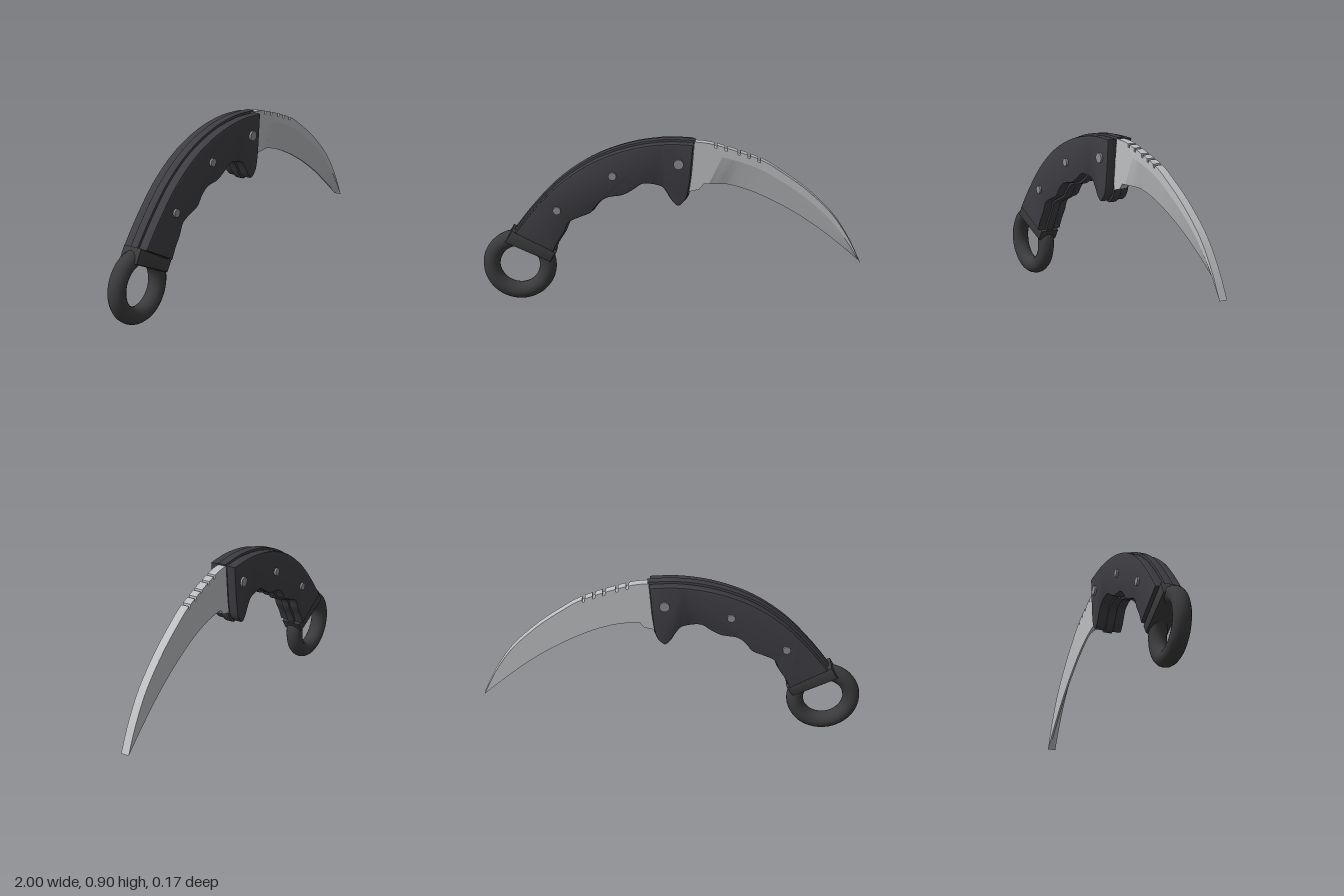
import * as THREE from 'three';
import { toCreasedNormals } from 'three/addons/utils/BufferGeometryUtils.js';

const mat = (name, color, extra = {}) => Object.assign(new THREE.MeshStandardMaterial({ color, ...extra }), { name });
const V = (x, y) => new THREE.Vector2(x, y);
const spline = (pts) => new THREE.SplineCurve(pts.map(([x, y]) => V(x, y)));

// Slab between two depths; grow moves its outline outwards, bevel rounds its rims
function slab(points, z0, z1, bevel, grow = 0) {
  const g = new THREE.ExtrudeGeometry(new THREE.Shape(points), {
    depth: z1 - z0 - 2 * bevel, bevelEnabled: bevel > 0, bevelThickness: bevel,
    bevelSize: bevel, bevelOffset: grow - bevel, bevelSegments: 2, steps: 1,
  });
  g.translate(0, 0, z0 + bevel);
  return toCreasedNormals(g, 0.6);
}

export function createModel() {
  const group = new THREE.Group();
  const grip = mat('charcoal grip', 0x3e3d42);
  const metal = mat('dark metal', 0x3b3b3d);
  const steel = mat('blade steel', 0xbcbec0);
  const pinMetal = mat('pin metal', 0x8c8c8f);
  const add = (name, geometry, material) => {
    const mesh = new THREE.Mesh(geometry, material);
    mesh.name = name;
    group.add(mesh);
    return mesh;
  };

  // Handle outline: arched back, front end, finger guard and grooves
  const back = spline([[-0.83, 0.39], [-0.73, 0.52], [-0.59, 0.67], [-0.42, 0.79], [-0.23, 0.865], [-0.04, 0.897], [0.125, 0.893]]);
  const guard = spline([[0.11, 0.71], [0.095, 0.61], [0.07, 0.565], [0.035, 0.543], [0.0, 0.57], [-0.03, 0.62],
    [-0.06, 0.652], [-0.14, 0.663], [-0.19, 0.632], [-0.25, 0.6], [-0.33, 0.585], [-0.375, 0.55],
    [-0.41, 0.505], [-0.47, 0.478], [-0.525, 0.45], [-0.55, 0.395], [-0.585, 0.34], [-0.615, 0.275]]);
  const handle = [...back.getPoints(28), ...guard.getPoints(72)].reverse();
  add('handleCore', slab(handle, -0.022, 0.022, 0.003), grip);
  add('leftScale', slab(handle, 0.02, 0.073, 0.009, -0.01), grip);
  add('rightScale', slab(handle, -0.073, -0.02, 0.009, -0.01), grip);

  // Collar and finger ring
  const collar = [[-0.875, 0.335], [-0.64, 0.225], [-0.605, 0.28], [-0.835, 0.405]].map(([x, y]) => V(x, y));
  add('collar', slab(collar, -0.057, 0.057, 0.012), metal);
  add('fingerRing', new THREE.TorusGeometry(0.15, 0.045, 16, 56).translate(-0.805, 0.197, 0), metal);

  // Pins through the handle
  for (const [x, y, r] of [[-0.593, 0.525, 0.021], [-0.302, 0.715, 0.021], [0.038, 0.781, 0.026]]) {
    add('pin', new THREE.CylinderGeometry(r, r, 0.168, 20).rotateX(Math.PI / 2).translate(x, y, 0), pinMetal);
  }

  // Blade curves: spine and cutting edge meet at the tip
  const spine = spline([[0.1, 0.886], [0.225, 0.87], [0.45, 0.795], [0.57, 0.725], [0.7, 0.63], [0.835, 0.5], [0.93, 0.36], [0.998, 0.22]]);
  const edge = spline([[0.195, 0.658], [0.3, 0.645], [0.435, 0.602], [0.6, 0.52], [0.755, 0.42], [0.89, 0.313], [0.998, 0.22]]);
  const N = 32;
  const u0 = 0.16;
  const stations = Array.from({ length: N + 1 }, (_, i) => {
    const t = i / N;
    const e = edge.getPointAt(t);
    const g = spine.getPointAt(u0 + (1 - u0) * t).lerp(e, 0.25);
    return { t, e, g };
  });

  // Spine with five thumb notches
  let top = spine.getPoints(90);
  const spineY = (x) => {
    const i = top.findIndex((p) => p.x >= x);
    const a = top[i - 1], b = top[i];
    return a.y + (b.y - a.y) * (x - a.x) / (b.x - a.x);
  };
  const w = 0.007;
  const notches = [0.228, 0.282, 0.348, 0.4, 0.453].map((x) => [
    V(x - w, spineY(x - w)), V(x - w + 0.001, spineY(x - w) - 0.018),
    V(x + w - 0.001, spineY(x + w) - 0.016), V(x + w, spineY(x + w)),
  ]);
  top = top.filter((p) => !notches.some((n) => p.x > n[0].x - 0.001 && p.x < n[3].x + 0.001));
  top = [...top, ...notches.flat()].sort((a, b) => a.x - b.x);

  // Full thickness part: base of the blade and spine strip
  const body = [...top, ...stations.slice(0, N).reverse().map((s) => s.g), stations[0].e,
    V(0.168, 0.658), V(0.145, 0.628), V(0.09, 0.615)];
  add('bladeBody', slab(body, -0.022, 0.022, 0), steel);

  // Single-sided grind, thinning towards the cutting edge
  const pos = [];
  const ring = ({ t, g, e }) => {
    const ze = 0.022 - 0.034 * Math.min(1, t / 0.1);
    return [[g.x, g.y, 0.022], [e.x, e.y, ze], [e.x, e.y, -0.022], [g.x, g.y, -0.022]];
  };
  for (let i = 0; i < N; i++) {
    const a = ring(stations[i]), b = ring(stations[i + 1]);
    for (let k = 0; k < 3; k++) {
      pos.push(...a[k], ...a[k + 1], ...b[k + 1], ...a[k], ...b[k + 1], ...b[k]);
    }
  }
  const grind = new THREE.BufferGeometry();
  grind.setAttribute('position', new THREE.Float32BufferAttribute(pos, 3));
  grind.computeVertexNormals();
  add('bladeGrind', toCreasedNormals(grind, 0.4), steel);

  return group;
}
